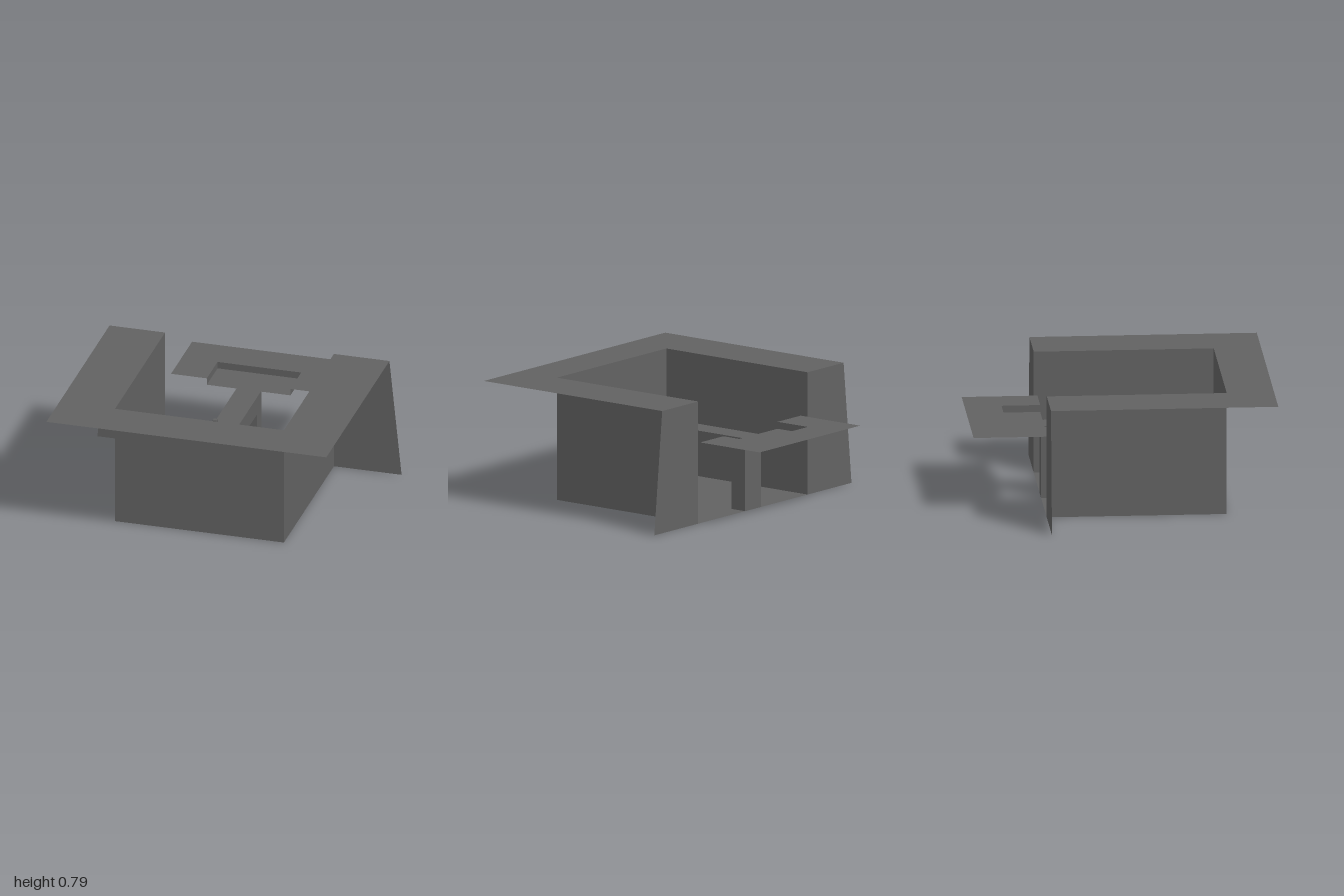
import * as THREE from 'three';

export function createModel() {
  const group = new THREE.Group();
  const grey = new THREE.MeshStandardMaterial({ color: 0x626262, side: THREE.DoubleSide });
  grey.name = 'darkGrey';

  const add = (name, geometry) => {
    const mesh = new THREE.Mesh(geometry, grey);
    mesh.name = name;
    group.add(mesh);
    return mesh;
  };
  // Solid box from its limits on each axis
  const box = (name, x0, x1, y0, y1, z0, z1) =>
    add(name, new THREE.BoxGeometry(x1 - x0, y1 - y0, z1 - z0))
      .position.set((x0 + x1) / 2, (y0 + y1) / 2, (z0 + z1) / 2);
  const outline = (points) => new THREE.Shape(points.map(([x, y]) => new THREE.Vector2(x, y)));
  // Flat horizontal sheet from (x, z) corners, facing up
  const sheet = (name, y, points) => {
    const geometry = new THREE.ShapeGeometry(outline(points.map(([x, z]) => [x, -z])));
    add(name, geometry.rotateX(-Math.PI / 2)).position.y = y;
  };
  // Flat upright sheet between two (x, z) points
  const wall = (name, [xa, za], [xb, zb], y0, y1) => {
    const mesh = add(name, new THREE.PlaneGeometry(Math.hypot(xb - xa, zb - za), y1 - y0));
    mesh.position.set((xa + xb) / 2, (y0 + y1) / 2, (za + zb) / 2);
    mesh.rotation.y = -Math.atan2(zb - za, xb - xa);
  };

  const top = 0.79, w = 0.555, rim = 0.92, back = -0.49, front = 0.65;

  // Open pit: floor, front wall, side walls
  sheet('pitFloor', 0, [[-w, back], [-w, front], [w, front], [w, back]]);
  wall('pitFrontWall', [-w, front], [w, front], 0, top);
  for (const s of [-1, 1]) {
    wall('pitSideWall', [s * w, front], [s * w, back], 0, top);
    // Sloped wing closing the back edge beside the opening
    const wing = outline([[s * w, 0], [s * 1, 0], [s * rim, top], [s * w, top]]);
    add('backWing', new THREE.ShapeGeometry(wing)).position.z = back;
  }
  // U-shaped ground around the pit
  sheet('groundRim', top, [[-rim, back], [-rim, 0.95], [rim, 0.95], [rim, back],
    [w, back], [w, front], [-w, front], [-w, back]]);

  // Platform, bridge and its posts
  const deck = 0.47, edge = -0.47;
  box('platform', -0.2, 0.2, 0, deck, 0.24, front - 0.002);
  box('bridge', -0.08, 0.08, 0.35, deck, edge, 0.24);
  box('backPost', -0.08, 0.08, 0, deck - 0.002, back, -0.38);
  box('frontPost', -0.08, 0.08, 0, 0.35, 0.115, 0.24);

  // Raised rear deck with a sunken landing
  const t = 0.275, d = 0.51, far = -0.715, deckTop = 0.515;
  sheet('rearDeck', deckTop, [[-d, -0.95], [-d, edge], [-t, edge], [-t, far],
    [t, far], [t, edge], [d, edge], [d, -0.95]]);
  sheet('landingFloor', deck, [[-t, far], [-t, edge], [t, edge], [t, far]]);
  wall('landingBackWall', [-t, far], [t, far], deck, deckTop);
  for (const s of [-1, 1]) wall('landingSideWall', [s * t, far], [s * t, edge], deck, deckTop);

  // Small fittings on the platform
  box('pillar', -0.013, 0.013, deck, 0.62, 0.277, 0.303);
  box('button', -0.007, 0.007, deck, deck + 0.015, 0.433, 0.447);

  return group;
}
